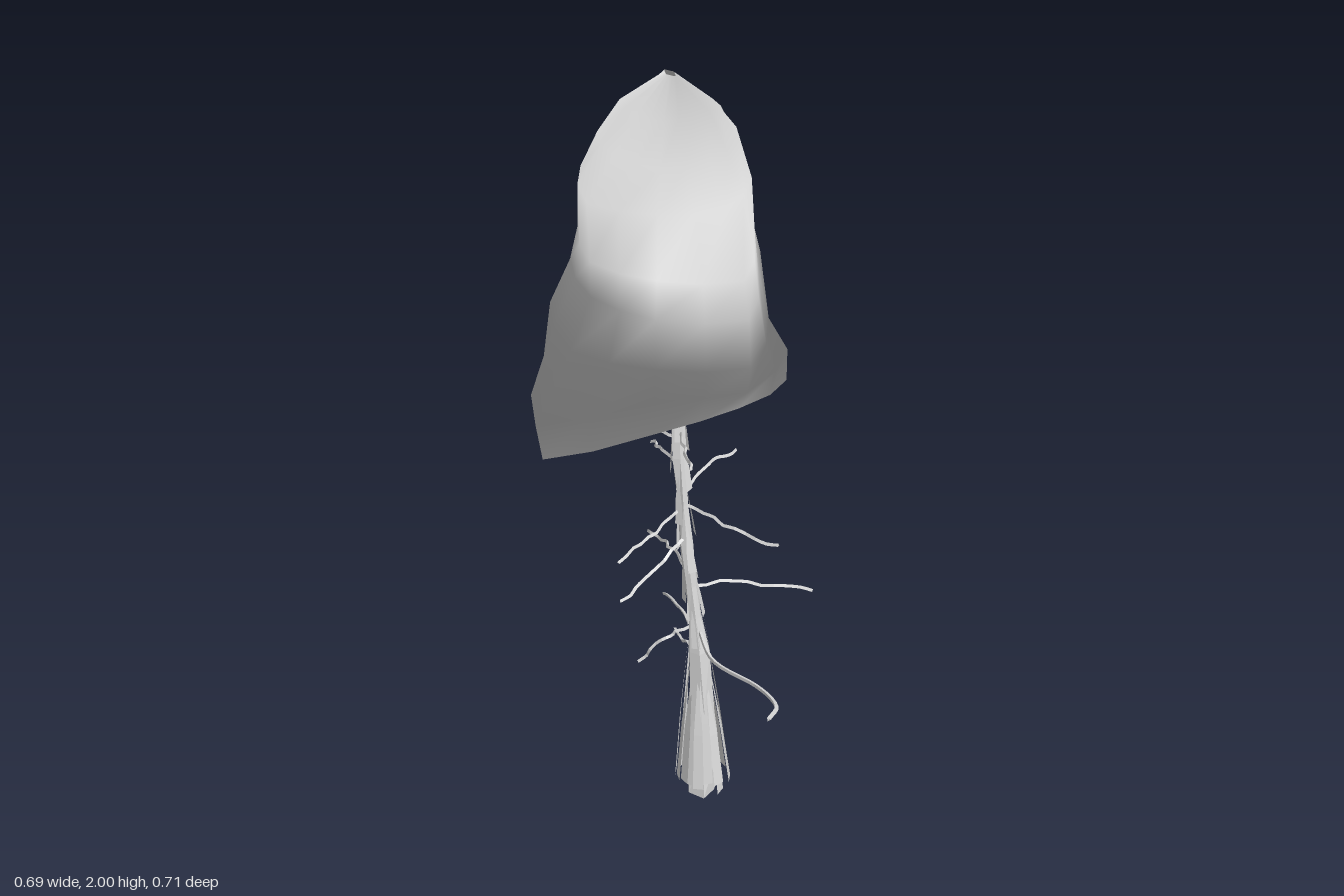
import * as THREE from 'three';

// Small seeded random for ragged bark and twigs
function makeRandom(seed) {
  return () => {
    seed = (seed * 16807) % 2147483647;
    return seed / 2147483647;
  };
}

// Skins closed rings of points, listed from top to bottom
function loft(rings) {
  const n = rings[0].length;
  const index = [];
  for (let r = 0; r < rings.length - 1; r++) {
    for (let i = 0; i < n; i++) {
      const a = r * n + i, b = r * n + (i + 1) % n;
      index.push(a, b, a + n, b, b + n, a + n);
    }
  }
  const geometry = new THREE.BufferGeometry().setFromPoints(rings.flat());
  geometry.setIndex(index);
  geometry.computeVertexNormals();
  return geometry;
}

// Leaning centre line of the trunk
const trunkPath = new THREE.CatmullRomCurve3([
  [0.045, 0, 0.04], [0.055, 0.25, 0.03], [0.05, 0.5, 0.01],
  [0.045, 0.75, -0.025], [0.05, 1.0, -0.06], [0.07, 1.3, -0.1],
].map(p => new THREE.Vector3(...p)));

function trunkAt(y) {
  let lo = 0, hi = 1;
  for (let i = 0; i < 16; i++) {
    const mid = (lo + hi) / 2;
    if (trunkPath.getPoint(mid).y < y) lo = mid; else hi = mid;
  }
  return trunkPath.getPoint(lo);
}

// Closed crown ring from eight radii: +x, then round by way of -z, -x and +z
function crownRing(heights, radii) {
  const control = radii.map((r, i) => {
    const a = -i / 8 * Math.PI * 2;
    return new THREE.Vector3(0.04 + Math.cos(a) * r, heights[i], -0.08 + Math.sin(a) * r);
  });
  const curve = new THREE.CatmullRomCurve3(control, true, 'catmullrom', 0.4);
  return Array.from({ length: 16 }, (_, i) => curve.getPoint(i / 16));
}

// Crown: lopsided dome with a low lobe at the back right and a hollow underside
function crownGeometry() {
  const rings = [
    [2.0, [0.01, 0.01, 0.02, 0.01, 0.01, 0.01, 0.02, 0.01]],
    [1.93, [0.08, 0.09, 0.09, 0.11, 0.09, 0.09, 0.08, 0.11]],
    [1.85, [0.155, 0.13, 0.115, 0.16, 0.15, 0.15, 0.14, 0.15]],
    [1.76, [0.165, 0.18, 0.14, 0.2, 0.225, 0.19, 0.2, 0.18]],
    [1.61, [0.205, 0.24, 0.255, 0.21, 0.22, 0.215, 0.265, 0.19]],
    [1.52, [0.24, 0.25, 0.23, 0.23, 0.22, 0.23, 0.285, 0.2]],
    [1.4, [0.2, 0.25, 0.26, 0.28, 0.28, 0.245, 0.295, 0.225]],
  ].map(([y, radii]) => crownRing(Array(8).fill(y), radii));
  // Slanting skirt, then the rim, then in and up to the trunk
  rings.push(crownRing(
    [1.33, 1.34, 1.33, 1.25, 1.24, 1.32, 1.33, 1.32],
    [0.18, 0.245, 0.27, 0.3, 0.38, 0.255, 0.285, 0.27],
  ));
  const rim = crownRing(
    [1.26, 1.28, 1.25, 1.13, 1.14, 1.24, 1.27, 1.235],
    [0.16, 0.22, 0.24, 0.26, 0.365, 0.265, 0.255, 0.27],
  );
  const hub = new THREE.Vector3(0.07, 1.25, -0.1);
  for (const t of [0, 0.45, 0.95]) rings.push(rim.map(p => p.clone().lerp(hub, t)));
  const geometry = loft(rings);

  // Soft foliage shading: normals lean towards those of a round ball
  const { position, normal } = geometry.attributes;
  const core = new THREE.Vector3(0.03, 1.52, -0.08);
  const p = new THREE.Vector3(), n = new THREE.Vector3();
  for (let i = 0; i < position.count; i++) {
    p.fromBufferAttribute(position, i).sub(core).normalize();
    n.fromBufferAttribute(normal, i).lerp(p, 0.7).normalize();
    normal.setXYZ(i, n.x, n.y, n.z);
  }
  return geometry;
}

// Trunk core: tapering faceted stem with uneven radius
function trunkGeometry(random) {
  const levels = [
    [1.27, 0.006], [1.1, 0.019], [1.0, 0.02], [0.87, 0.013], [0.76, 0.016],
    [0.64, 0.018], [0.55, 0.017], [0.45, 0.028], [0.28, 0.038], [0.12, 0.045], [0, 0.047],
  ];
  const sides = 6;
  return loft(levels.map(([y, radius]) => {
    const c = trunkAt(y);
    return Array.from({ length: sides }, (_, i) => {
      const a = -i / sides * Math.PI * 2;
      const r = radius * (0.7 + 0.5 * random());
      return new THREE.Vector3(c.x + Math.cos(a) * r, y, c.z + Math.sin(a) * r);
    });
  }));
}

// Bark shred: a flat tapered strip hugging the trunk
function barkGeometry(angle, y0, y1, r0, r1, width) {
  const a = trunkAt(y0), b = trunkAt(y1);
  const out = new THREE.Vector3(Math.cos(angle), 0, Math.sin(angle));
  const side = new THREE.Vector3(-out.z, 0, out.x);
  a.y = y0;
  b.y = y1;
  const mid = a.clone().lerp(b, 0.45).addScaledVector(out, r0 * 0.6 + r1 * 0.4);
  a.addScaledVector(out, r0);
  b.addScaledVector(out, r1);
  const at = (p, w) => p.clone().addScaledVector(side, w);
  const geometry = new THREE.BufferGeometry().setFromPoints([
    at(a, -width), at(a, width), at(mid, -width * 0.8), at(mid, width * 0.8), b,
  ]);
  geometry.setIndex([0, 2, 1, 1, 2, 3, 2, 4, 3]);
  geometry.computeVertexNormals();
  return geometry;
}

// Twig: a thin crooked three-sided tube from the trunk to its tip
function twigGeometry(startY, tip, sag, random) {
  const start = trunkAt(startY);
  const end = new THREE.Vector3(...tip);
  const steps = 9;
  const points = Array.from({ length: steps + 1 }, (_, i) => {
    const t = i / steps;
    const p = start.clone().lerp(end, t);
    p.y += sag * Math.sin(Math.PI * t);
    if (i > 0 && i < steps) {
      p.add(new THREE.Vector3(random() - 0.5, random() - 0.5, random() - 0.5).multiplyScalar(0.012));
    }
    return p;
  });
  return new THREE.TubeGeometry(new THREE.CatmullRomCurve3(points), 18, 0.0045, 3);
}

export function createModel() {
  const model = new THREE.Group();
  model.name = 'tree';
  const random = makeRandom(4217);

  const leafGrey = new THREE.MeshStandardMaterial({ color: 0xd6d6d6, side: THREE.DoubleSide });
  leafGrey.name = 'pale grey';
  const barkGrey = leafGrey.clone();
  barkGrey.flatShading = true;

  const add = (parent, name, geometry, material) => {
    const mesh = new THREE.Mesh(geometry, material);
    mesh.name = name;
    parent.add(mesh);
  };
  const addGroup = name => {
    const group = new THREE.Group();
    group.name = name;
    model.add(group);
    return group;
  };

  add(model, 'crown', crownGeometry(), leafGrey);
  add(model, 'trunk', trunkGeometry(random), barkGrey);

  // Loose bark, long and flared at the foot, short higher up
  const bark = addGroup('bark');
  for (let i = 0; i < 16; i++) {
    const angle = i / 16 * Math.PI * 2;
    const top = 0.32 + 0.22 * random();
    add(bark, 'footBark', barkGeometry(angle, 0.06 * random(), top, 0.052 + 0.022 * random(), 0.022, 0.014), barkGrey);
  }
  for (let i = 0; i < 16; i++) {
    const y = 0.42 + i * 0.045;
    add(bark, 'stemBark', barkGeometry(i * 2.4, y, y + 0.13, 0.024, 0.012, 0.011), barkGrey);
  }

  // Twigs: start height, tip, sag
  const twigs = addGroup('twigs');
  [
    [1.07, [-0.17, 1.04, -0.2], 0.02],
    [1.08, [0.25, 1.03, -0.18], 0.02],
    [1.08, [-0.04, 1.09, 0.1], -0.01],
    [1.03, [0.13, 1.07, -0.24], 0.02],
    [1.05, [0.0, 0.97, -0.27], 0.02],
    [0.9, [0.285, 0.87, -0.14], 0.025],
    [0.94, [0.12, 0.89, -0.27], 0.02],
    [0.87, [0.135, 0.86, 0.215], -0.005],
    [0.86, [-0.205, 0.86, 0.04], 0],
    [0.78, [-0.215, 0.76, 0.06], -0.01],
    [0.77, [0.07, 0.82, -0.09], -0.02],
    [0.68, [0.13, 0.59, -0.3], 0.015],
    [0.64, [0.35, 0.54, 0.095], 0.015],
    [0.52, [-0.065, 0.4, -0.08], 0.02],
    [0.51, [0.17, 0.37, -0.29], 0.01],
    [0.43, [0.2, 0.24, -0.28], -0.01],
  ].forEach(([y, tip, sag]) => add(twigs, 'twig', twigGeometry(y, tip, sag, random), barkGrey));

  // Long front branch hooking sideways at its end
  const hook = new THREE.CatmullRomCurve3([
    [0.05, 0.51, 0.02], [0.03, 0.48, 0.1], [0.07, 0.46, 0.22],
    [0.075, 0.455, 0.27], [0.055, 0.465, 0.32], [0.0, 0.485, 0.358],
  ].map(p => new THREE.Vector3(...p)));
  add(twigs, 'frontBranch', new THREE.TubeGeometry(hook, 20, 0.006, 3), barkGrey);

  return model;
}
